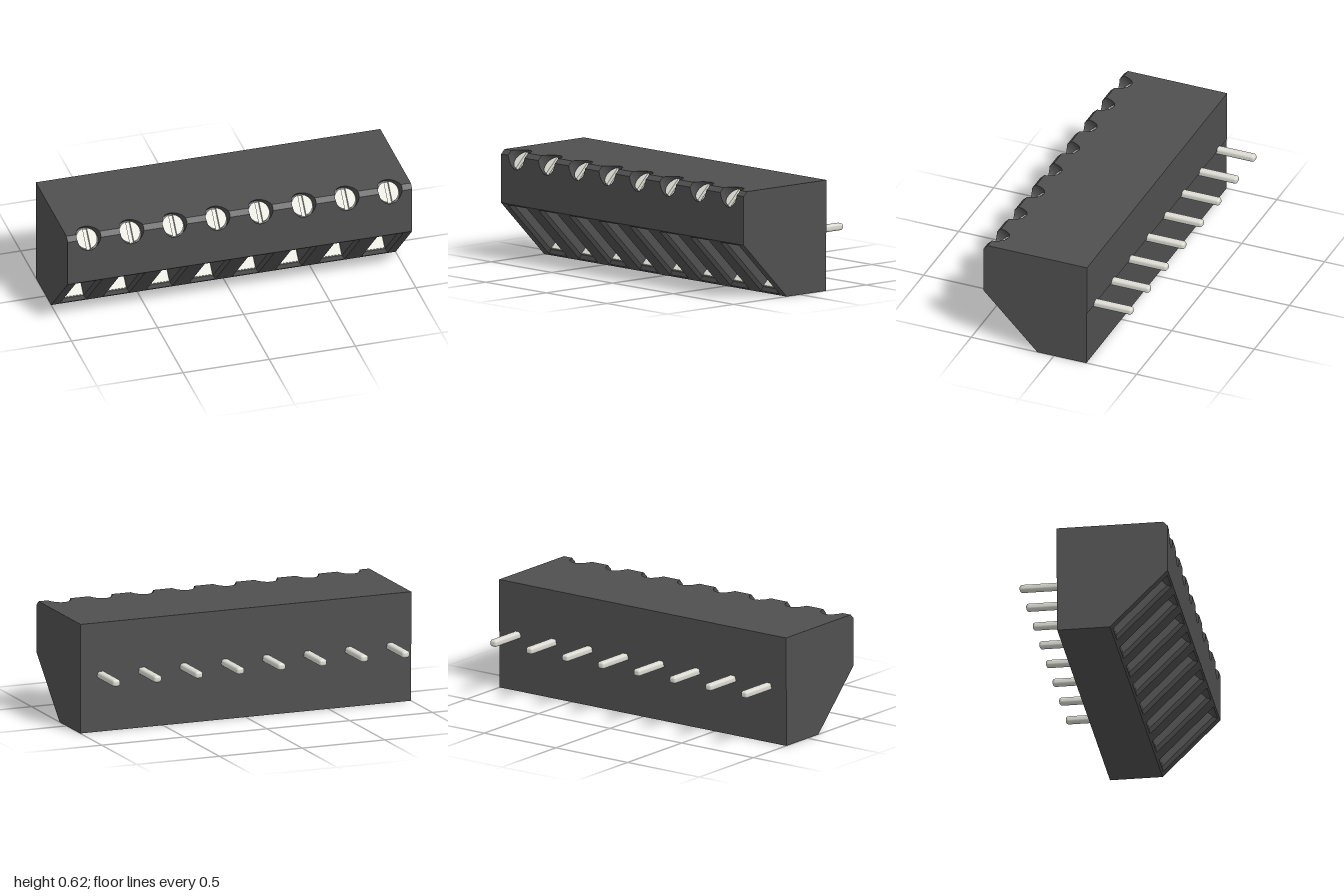
import * as THREE from 'three';
import { RoundedBoxGeometry } from 'three/addons/geometries/RoundedBoxGeometry.js';

const V = (x, y, z) => new THREE.Vector3(x, y, z);
const K = Math.SQRT1_2;
const POLES = 8, PITCH = 0.25;
const poleX = Array.from({ length: POLES }, (_, i) => (i - (POLES - 1) / 2) * PITCH);

// housing section
const TOP = 0.625, FRONT = 0.425, BACK = -0.2, CH = 0.025, KNEE = 0.325, TOE = 0.1;
const STEP = 0.004;
// screw recess
const R = 0.07, HALF = CH * K;
const T0 = Math.asin(HALF / R);

const plastic = new THREE.MeshStandardMaterial({ color: 0x505050, side: THREE.DoubleSide });
const metal = new THREE.MeshStandardMaterial({ color: 0xdcdcd4 });

function add(parent, name, geometry, material) {
  const mesh = new THREE.Mesh(geometry, material);
  mesh.name = name;
  parent.add(mesh);
  return mesh;
}

// places an object in the frame given by its local x and y directions
function orient(object, origin, xDir, yDir) {
  const m = new THREE.Matrix4().makeBasis(xDir, yDir, xDir.clone().cross(yDir));
  object.quaternion.setFromRotationMatrix(m);
  object.position.copy(origin);
  return object;
}

const toShape = pts => new THREE.Shape(pts.map(p => new THREE.Vector2(p[0], p[1])));
const rect = (x0, x1, y0, y1) => [[x0, y0], [x1, y0], [x1, y1], [x0, y1]];

// surface joining successive closed rings of points
function loft(rings, flat) {
  const n = rings[0].length, index = [];
  for (let r = 0; r < rings.length - 1; r++)
    for (let i = 0; i < n; i++) {
      const j = (i + 1) % n, a = r * n + i, b = r * n + j;
      index.push(a, a + n, b, b, a + n, b + n);
    }
  let g = new THREE.BufferGeometry().setFromPoints(rings.flat());
  g.setIndex(index);
  if (flat) g = g.toNonIndexed();
  g.computeVertexNormals();
  return g;
}

// panel whose chamfered edge is bitten by the screw recesses
function bittenPanel(depth, sign) {
  const pts = [[-1, 0]];
  for (const x of poleX)
    for (let i = 0; i <= 16; i++) {
      const t = Math.PI - T0 - (i / 16) * (Math.PI - 2 * T0);
      pts.push([x + R * Math.cos(t), sign * Math.max(0, 2 * K * R * Math.sin(t) - CH)]);
    }
  pts.push([1, 0], [1, sign * depth], [-1, sign * depth]);
  return toShape(pts);
}

function makeHousing() {
  const g = new THREE.Group();
  g.name = 'housing';
  const X = V(1, 0, 0);
  const panel = (name, shape, origin, yDir, xDir = X) =>
    orient(add(g, name, new THREE.ShapeGeometry(shape), plastic), origin, xDir, yDir);

  panel('topFace', bittenPanel(FRONT - CH - BACK, 1), V(0, TOP, FRONT - CH), V(0, 0, -1));
  panel('frontFace', bittenPanel(TOP - CH - KNEE, -1), V(0, TOP - CH, FRONT), V(0, 1, 0));

  // chamfer left between the recesses
  const c = R * Math.cos(T0), edges = [-1, ...poleX, 1];
  for (let i = 0; i <= POLES; i++) {
    const a = edges[i], b = edges[i + 1];
    const l = i === 0 ? [[a, HALF], [a, -HALF]] : [[a + c, HALF], [a + R, 0], [a + c, -HALF]];
    const r = i === POLES ? [[b, -HALF], [b, HALF]] : [[b - c, -HALF], [b - R, 0], [b - c, HALF]];
    panel('chamfer', toShape([...l, ...r]), V(0, TOP - CH / 2, FRONT - CH / 2), V(0, K, -K));
  }

  // sloped wire-entry face with rectangular openings
  const slope = toShape(rect(-1, 1, 0, KNEE / K));
  for (const x of poleX)
    slope.holes.push(new THREE.Path(rect(x - 0.076, x + 0.076, 0.015, 0.448).map(p => new THREE.Vector2(...p))));
  panel('slopedFace', slope, V(0, 0, TOE), V(0, K, K));

  // underside and slightly stepped back
  const low = BACK + STEP;
  panel('bottomFace', toShape(rect(-1, 1, 0, TOE - low)), V(0, 0, low), V(0, 0, 1));
  panel('lowerBack', toShape(rect(-1, 1, 0, KNEE)), V(0, KNEE, low), V(0, -1, 0));
  panel('upperBack', toShape(rect(-1, 1, 0, TOP - KNEE)), V(0, TOP, BACK), V(0, -1, 0));
  panel('backStep', toShape(rect(-1, 1, 0, STEP)), V(0, KNEE, BACK), V(0, 0, 1));

  // end faces
  const profile = [[low, 0], [TOE, 0], [FRONT, KNEE], [FRONT, TOP - CH], [FRONT - CH, TOP],
    [BACK, TOP], [BACK, KNEE], [low, KNEE]];
  for (const s of [-1, 1])
    panel('endFace', toShape(profile.map(([z, y]) => [-s * z, y])), V(s, 0, 0), V(0, 1, 0), V(0, 0, -s));
  return g;
}

// round recess with a slotted screw head, local z pointing out of the chamfer
function makeScrew(x) {
  const g = new THREE.Group();
  g.name = 'screwRecess';
  const mouth = [], floor = [], depth = -0.08, N = 48;
  for (let i = 0; i < N; i++) {
    const t = (i / N) * Math.PI * 2, px = R * Math.cos(t), py = R * Math.sin(t);
    mouth.push(V(px, py, Math.min(0, HALF - Math.abs(py))));
    floor.push(V(px, py, depth));
  }
  add(g, 'recessWall', loft([mouth, floor]), plastic);
  add(g, 'recessFloor', new THREE.CircleGeometry(R, N), plastic).position.z = depth;

  const r = 0.06, a = Math.acos(0.012 / r);
  const half = new THREE.Shape().absarc(0, 0, r, -a, a, false);
  const geo = new THREE.ExtrudeGeometry(half, { depth: 0.02, bevelEnabled: false, curveSegments: 20 });
  for (const s of [0, 1]) {
    const m = add(g, 'screwHeadHalf', geo, metal);
    m.rotation.z = s * Math.PI;
    m.position.z = -0.073;
  }
  add(g, 'slotBottom', new THREE.CircleGeometry(r, 32), metal).position.z = -0.072;
  return orient(g, V(x, TOP - CH / 2, FRONT - CH / 2), V(1, 0, 0), V(0, K, -K));
}

// tapered wire pocket, local z pointing out of the sloped face
function makePocket(x) {
  const g = new THREE.Group();
  g.name = 'wirePocket';
  const depth = 0.385, y0 = 0.03, y1 = 0.435, w = 0.062;
  const ring = (hw, a, b, z) => rect(-hw, hw, a, b).map(p => V(p[0], p[1], z));
  add(g, 'pocketWalls', loft([ring(0.076, 0.015, 0.448, 0), ring(w, y0, y1, -0.02), ring(w, y0, y1, -depth)], true), plastic);
  add(g, 'pocketEnd', new THREE.ShapeGeometry(toShape(rect(-w, w, y0, y1))), plastic).position.z = -depth;
  add(g, 'wireClamp', new THREE.BoxGeometry(0.112, 0.008, 0.1), metal).position.set(0, y0 + 0.003, -0.075);
  return orient(g, V(x, 0, TOE), V(1, 0, 0), V(0, K, K));
}

export function createModel() {
  const model = new THREE.Group();
  model.name = 'terminalBlock';
  model.add(makeHousing());
  const pinGeo = new RoundedBoxGeometry(0.046, 0.04, 0.25, 3, 0.015);
  for (const x of poleX) {
    model.add(makeScrew(x), makePocket(x));
    add(model, 'contactPin', pinGeo, metal).position.set(x, 0.325, -0.3);
  }
  return model;
}
